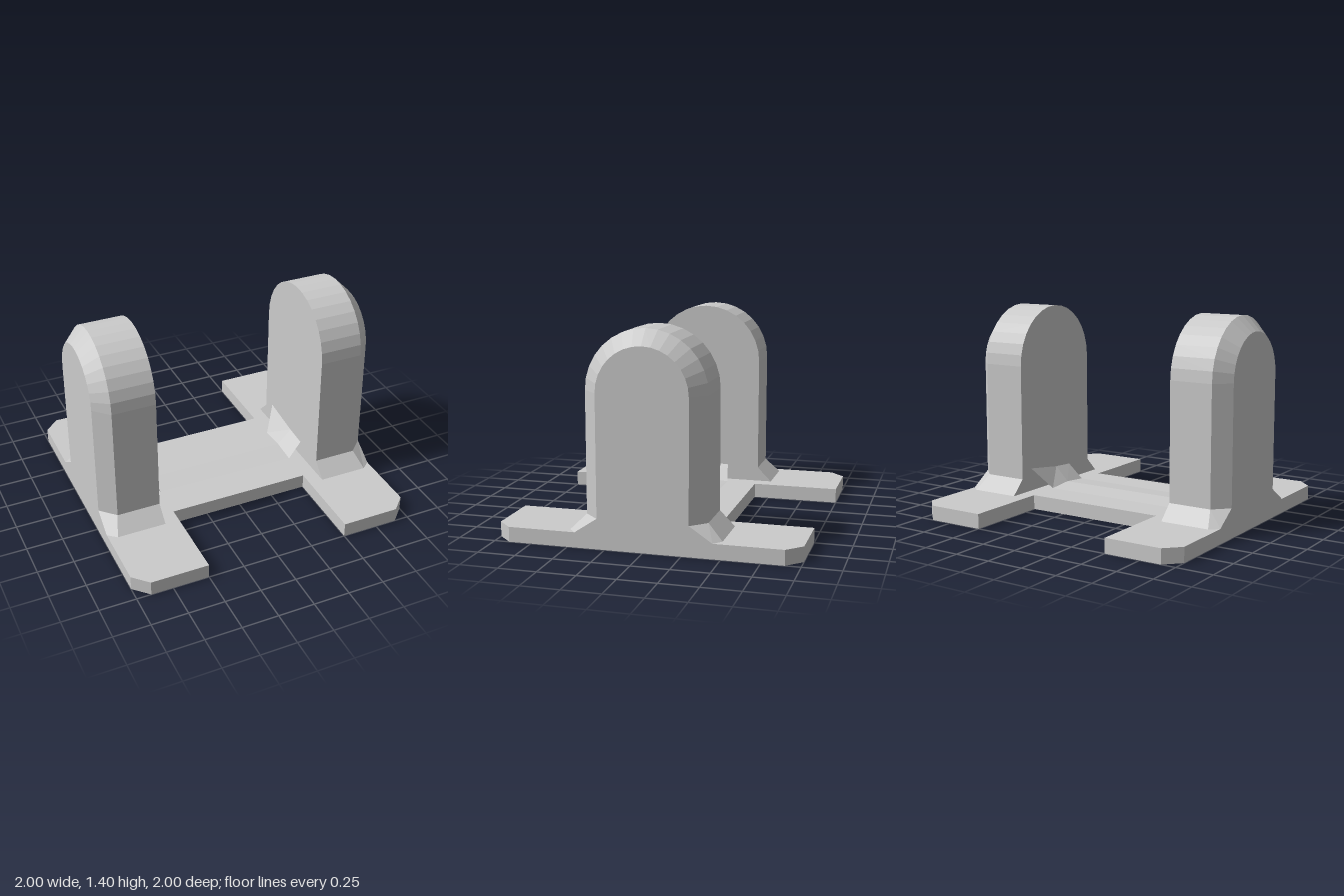
import * as THREE from 'three';

const material = new THREE.MeshStandardMaterial({ color: 0xcccccc, flatShading: true });
const thinMaterial = new THREE.MeshStandardMaterial({ color: 0xcccccc, flatShading: true, side: THREE.DoubleSide });

// Flat-faced geometry from a list of Vector3 triangles
function fromTriangles(points) {
  const geometry = new THREE.BufferGeometry().setFromPoints(points);
  geometry.computeVertexNormals();
  return geometry;
}

// H-shaped plate with clipped outer corners
function createBase() {
  const quarter = [[0.5, 0.4], [0.5, 1], [0.9, 1], [1, 0.9]];
  const back = [...quarter].reverse();
  const outline = [
    ...quarter,
    ...back.map(([x, z]) => [x, -z]),
    ...quarter.map(([x, z]) => [-x, -z]),
    ...back.map(([x, z]) => [-x, z]),
  ];
  const shape = new THREE.Shape(outline.map(([x, z]) => new THREE.Vector2(x, -z)));
  const geometry = new THREE.ExtrudeGeometry(shape, { depth: 0.1, bevelEnabled: false });
  geometry.rotateX(-Math.PI / 2);
  const mesh = new THREE.Mesh(geometry, material);
  mesh.name = 'basePlate';
  return mesh;
}

// One arch-shaped outline of an upright, with a flared foot at both ends
function archRing(x, footX, radius, footZ) {
  const ring = [new THREE.Vector3(footX, 0.1, footZ), new THREE.Vector3(x, 0.2, radius)];
  const segments = 16;
  for (let i = 0; i <= segments; i++) {
    const a = (i / segments) * Math.PI;
    ring.push(new THREE.Vector3(x, 1 + radius * Math.sin(a), radius * Math.cos(a)));
  }
  ring.push(new THREE.Vector3(x, 0.2, -radius), new THREE.Vector3(footX, 0.1, -footZ));
  return ring;
}

// Upright lofted through three outlines; the outer rim is chamfered
function createUpright(side) {
  const rings = [
    archRing(0.6, 0.6, 0.4, 0.5),
    archRing(0.9, 0.94, 0.4, 0.5),
    archRing(1, 1, 0.3, 0.45),
  ];
  const triangles = [];
  const add = (a, b, c) => {
    const corners = side > 0 ? [a, b, c] : [a, c, b];
    triangles.push(...corners.map((p) => new THREE.Vector3(p.x * side, p.y, p.z)));
  };
  const count = rings[0].length;
  for (let r = 0; r < 2; r++) {
    for (let i = 0; i < count - 1; i++) {
      const [a, b] = [rings[r][i], rings[r][i + 1]];
      const [c, d] = [rings[r + 1][i], rings[r + 1][i + 1]];
      add(a, c, d);
      add(a, d, b);
    }
  }
  // Inner and outer faces, filled across in horizontal bands
  for (let i = 0; i < (count - 1) / 2; i++) {
    const j = count - 1 - i;
    const inner = rings[0], outer = rings[2];
    add(inner[i], inner[i + 1], inner[j]);
    add(inner[i + 1], inner[j - 1], inner[j]);
    add(outer[i], outer[j], outer[i + 1]);
    add(outer[i + 1], outer[j], outer[j - 1]);
  }
  const mesh = new THREE.Mesh(fromTriangles(triangles), material);
  mesh.name = side > 0 ? 'leftUpright' : 'rightUpright';
  return mesh;
}

// Thin, slightly crowned strip between the uprights, with upturned ends
function createStrip() {
  // x, then y and z of the back edge, the crown and the front edge
  const sections = [
    [-0.6, [0.21, -0.17], [0.22, 0], [0.21, 0.15]],
    [-0.5, [0.105, -0.19], [0.12, 0], [0.105, 0.165]],
    [0.5, [0.105, -0.18], [0.12, 0], [0.105, 0.18]],
    [0.6, [0.26, -0.3], [0.22, 0], [0.21, 0.16]],
  ].map(([x, ...row]) => row.map(([y, z]) => new THREE.Vector3(x, y, z)));
  const triangles = [];
  for (let s = 0; s < 3; s++) {
    for (let i = 0; i < 2; i++) {
      const [a, b] = [sections[s][i], sections[s][i + 1]];
      const [c, d] = [sections[s + 1][i], sections[s + 1][i + 1]];
      triangles.push(a, b, d, a, d, c);
    }
  }
  const mesh = new THREE.Mesh(fromTriangles(triangles), thinMaterial);
  mesh.name = 'centreStrip';
  return mesh;
}

export function createModel() {
  const model = new THREE.Group();
  model.name = 'twinUprightBracket';
  model.add(createBase(), createUpright(1), createUpright(-1), createStrip());
  return model;
}
